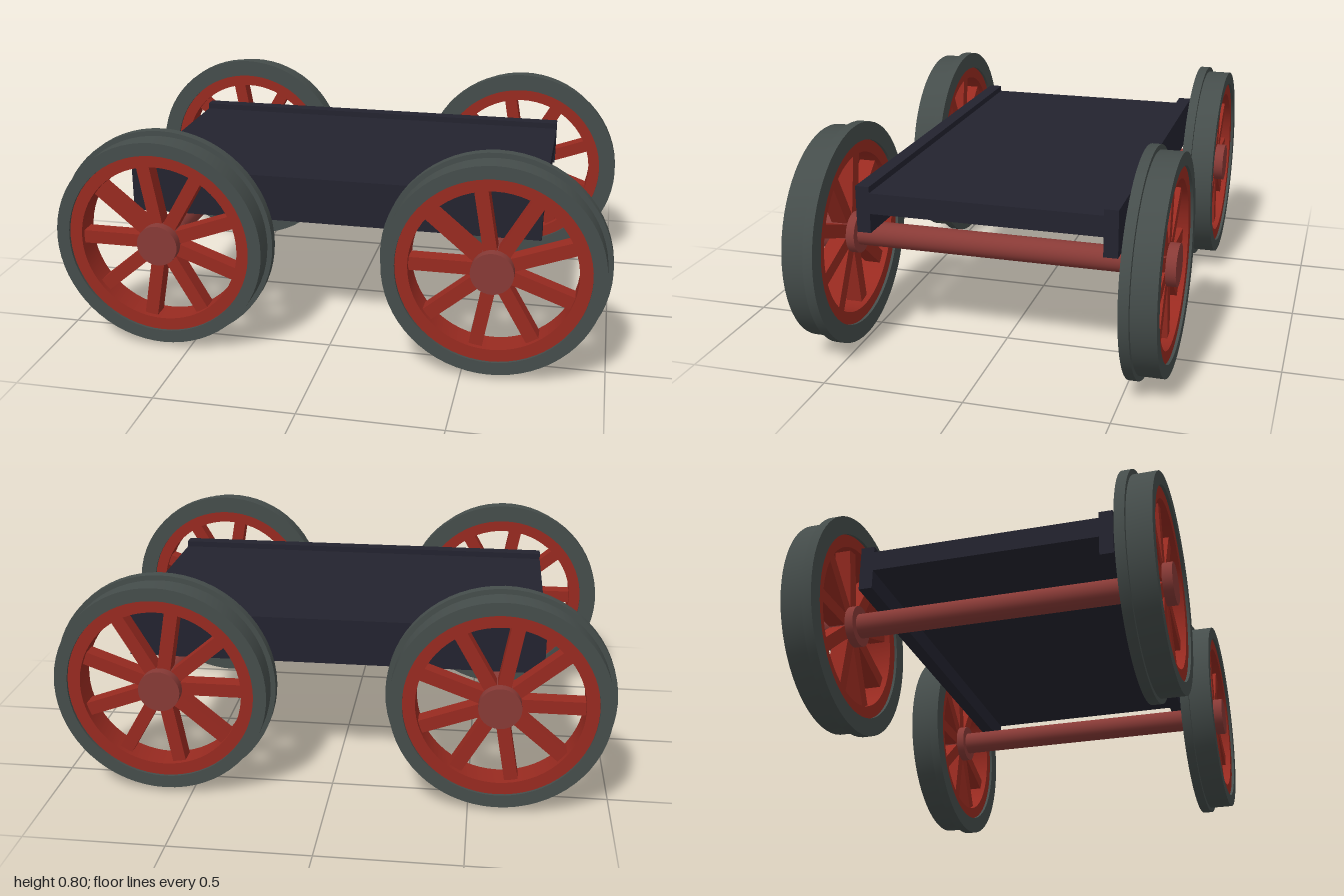
import * as THREE from 'three';
import { toCreasedNormals } from 'three/addons/utils/BufferGeometryUtils.js';

const AXLE_X = 0.598, AXLE_Y = 0.402;

export function createModel() {
  const frameMat = new THREE.MeshStandardMaterial({ name: 'dark navy', color: 0x23232f });
  const tyreMat = new THREE.MeshStandardMaterial({ name: 'iron grey', color: 0x454d4b });
  const redMat = new THREE.MeshStandardMaterial({ name: 'wheel red', color: 0x982a20 });
  const axleMat = new THREE.MeshStandardMaterial({ name: 'axle red', color: 0x883a36 });

  const model = new THREE.Group();
  model.name = 'railTruck';

  const add = (parent, name, geometry, material, x = 0, y = 0, z = 0) => {
    const mesh = new THREE.Mesh(geometry, material);
    mesh.name = name;
    mesh.position.set(x, y, z);
    parent.add(mesh);
    return mesh;
  };

  // Closed ring turned around the z axis; profile is [radius, z], counterclockwise
  const ring = (profile) => {
    const points = [...profile, profile[0]].map(([r, z]) => new THREE.Vector2(r, z));
    return toCreasedNormals(new THREE.LatheGeometry(points, 64).rotateX(Math.PI / 2), 0.6);
  };
  const rod = (radius, length) =>
    new THREE.CylinderGeometry(radius, radius, length, 32).rotateX(Math.PI / 2);

  // Frame: deck between two side rails
  add(model, 'deck', new THREE.BoxGeometry(1.5, 0.075, 0.83), frameMat, 0, 0.573, 0);
  for (const side of [1, -1]) {
    add(model, 'sideRail', new THREE.BoxGeometry(1.5, 0.168, 0.05), frameMat, 0, 0.549, side * 0.437);
  }

  // Shared wheel geometry, with z measured from the middle of the truck
  const tyreGeo = ring([[0.337, 0.515], [0.402, 0.515], [0.402, 0.55], [0.384, 0.55], [0.384, 0.636], [0.337, 0.636]]);
  const rimGeo = ring([[0.292, 0.525], [0.338, 0.525], [0.338, 0.626], [0.292, 0.626]]);
  const spokeGeo = new THREE.BoxGeometry(0.25, 0.048, 0.06).translate(0.18, 0, 0);
  const hubGeo = rod(0.075, 0.127);
  const axleGeo = rod(0.045, 1.06);

  const makeWheel = () => {
    const wheel = new THREE.Group();
    wheel.name = 'wheel';
    add(wheel, 'tyre', tyreGeo, tyreMat);
    add(wheel, 'rim', rimGeo, redMat);
    add(wheel, 'hub', hubGeo, axleMat, 0, 0, 0.5785);
    for (let i = 0; i < 9; i++) {
      add(wheel, 'spoke', spokeGeo, redMat, 0, 0, 0.576).rotation.z = Math.PI + (i * Math.PI * 2) / 9;
    }
    return wheel;
  };

  // Two wheelsets; the rear wheel of each is turned over to face outward
  for (const x of [-AXLE_X, AXLE_X]) {
    const wheelset = new THREE.Group();
    wheelset.name = 'wheelset';
    wheelset.position.set(x, AXLE_Y, 0);
    add(wheelset, 'axle', axleGeo, axleMat);
    const front = makeWheel();
    const back = makeWheel();
    back.rotation.x = Math.PI;
    wheelset.add(front, back);
    model.add(wheelset);
  }
  return model;
}
